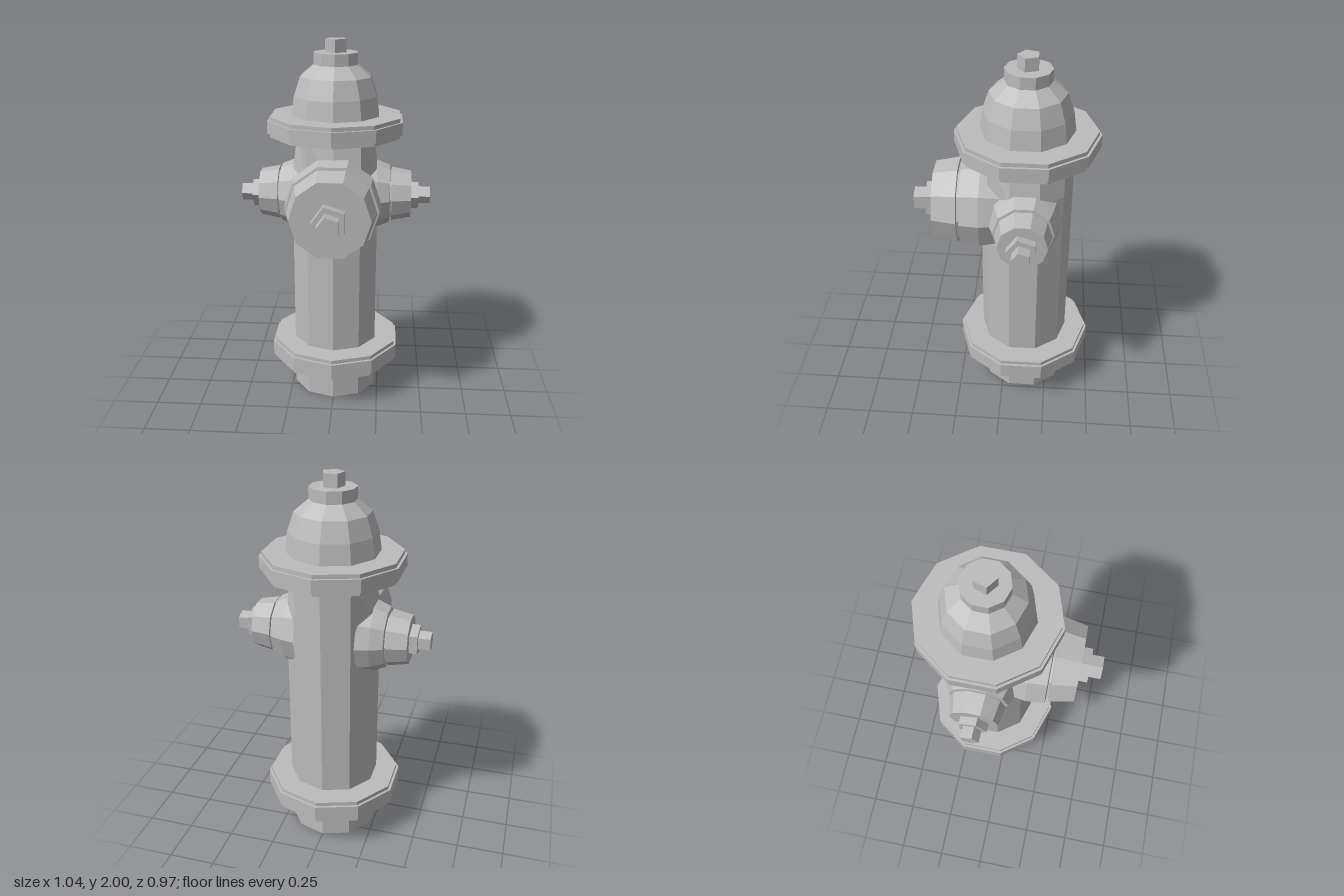
import * as THREE from 'three';

const AXIS_Z = -0.115; // centre line of the barrel
const PORT_Y = 1.167;  // height of the three outlets

export function createModel() {
  const model = new THREE.Group();
  const iron = new THREE.MeshStandardMaterial({ color: 0xbcbcbc, flatShading: true, side: THREE.DoubleSide });
  iron.name = 'castIron';

  // Faceted turned part; profile is [radius, height] from bottom to top
  function turned(name, profile, sides, parent) {
    const points = profile.map(([r, y]) => new THREE.Vector2(r, y));
    const mesh = new THREE.Mesh(new THREE.LatheGeometry(points, sides), iron);
    mesh.name = name;
    parent.add(mesh);
    return mesh;
  }

  const column = new THREE.Group();
  column.name = 'column';
  column.position.z = AXIS_Z;
  model.add(column);

  // Open foot and plain barrel
  turned('foot', [[0.243, 0], [0.243, 0.2]], 10, column);
  turned('barrel', [[0.243, 0.29], [0.243, 1.3]], 10, column);

  // Neck, flattened at the front and sides towards the top
  const neck = turned('neck', [[0.243, 1.3], [0.243, 1.51]], 10, column);
  const pos = neck.geometry.attributes.position;
  for (let i = 0; i < pos.count; i++) {
    if (pos.getY(i) < 1.4) continue;
    pos.setX(i, THREE.MathUtils.clamp(pos.getX(i), -0.2, 0.2));
    pos.setZ(i, Math.min(pos.getZ(i), 0.19));
  }
  neck.geometry.computeVertexNormals();

  // Flanges with a thin lip above and below
  for (const [name, y0, y1] of [['baseFlange', 0.18, 0.305], ['bonnetFlange', 1.5, 1.608]]) {
    turned(name, [
      [0, y0], [0.36, y0], [0.36, y0 + 0.021], [0.374, y0 + 0.021],
      [0.374, y1 - 0.021], [0.36, y1 - 0.021], [0.36, y1], [0, y1],
    ], 10, column);
  }

  // Bonnet, its cap and the operating nut
  turned('bonnet', [[0.243, 1.6], [0.228, 1.71], [0.194, 1.81], [0.12, 1.87]], 10, column);
  turned('bonnetCap', [[0.12, 1.865], [0.12, 1.932], [0, 1.932]], 10, column);
  turned('operatingNut', [[0.058, 1.93], [0.058, 2], [0, 2]], 5, column);

  // Outlet built along +y, then turned outwards
  function outlet(name, collar, cap, nuts) {
    const group = new THREE.Group();
    group.name = name;
    turned('collar', collar, 10, group);
    turned('cap', cap, 10, group);
    turned('capNutBase', nuts[0], 5, group);
    turned('capNut', nuts[1], 5, group);
    model.add(group);
    return group;
  }

  // Large front outlet
  const front = outlet('frontOutlet',
    [[0.225, -0.04], [0.257, 0.12], [0.246, 0.222], [0.213, 0.226], [0.213, 0.24]],
    [[0.213, 0.238], [0.235, 0.24], [0.208, 0.37], [0, 0.37]],
    [[[0.094, 0.365], [0.094, 0.42], [0, 0.42]], [[0.062, 0.415], [0.062, 0.485], [0, 0.485]]]);
  front.position.y = PORT_Y;
  front.rotation.set(Math.PI / 2, -Math.PI / 2, 0, 'XYZ');

  // Small outlets on both sides
  for (const side of [1, -1]) {
    const port = outlet(side > 0 ? 'leftOutlet' : 'rightOutlet',
      [[0.2, 0.16], [0.185, 0.23], [0.158, 0.297], [0.132, 0.299], [0.132, 0.308]],
      [[0.132, 0.306], [0.148, 0.308], [0.128, 0.413], [0, 0.413]],
      [[[0.08, 0.408], [0.08, 0.455], [0, 0.455]], [[0.051, 0.45], [0.051, 0.518], [0, 0.518]]]);
    port.position.set(0, PORT_Y, AXIS_Z);
    port.rotation.z = -side * Math.PI / 2;
  }

  return model;
}
